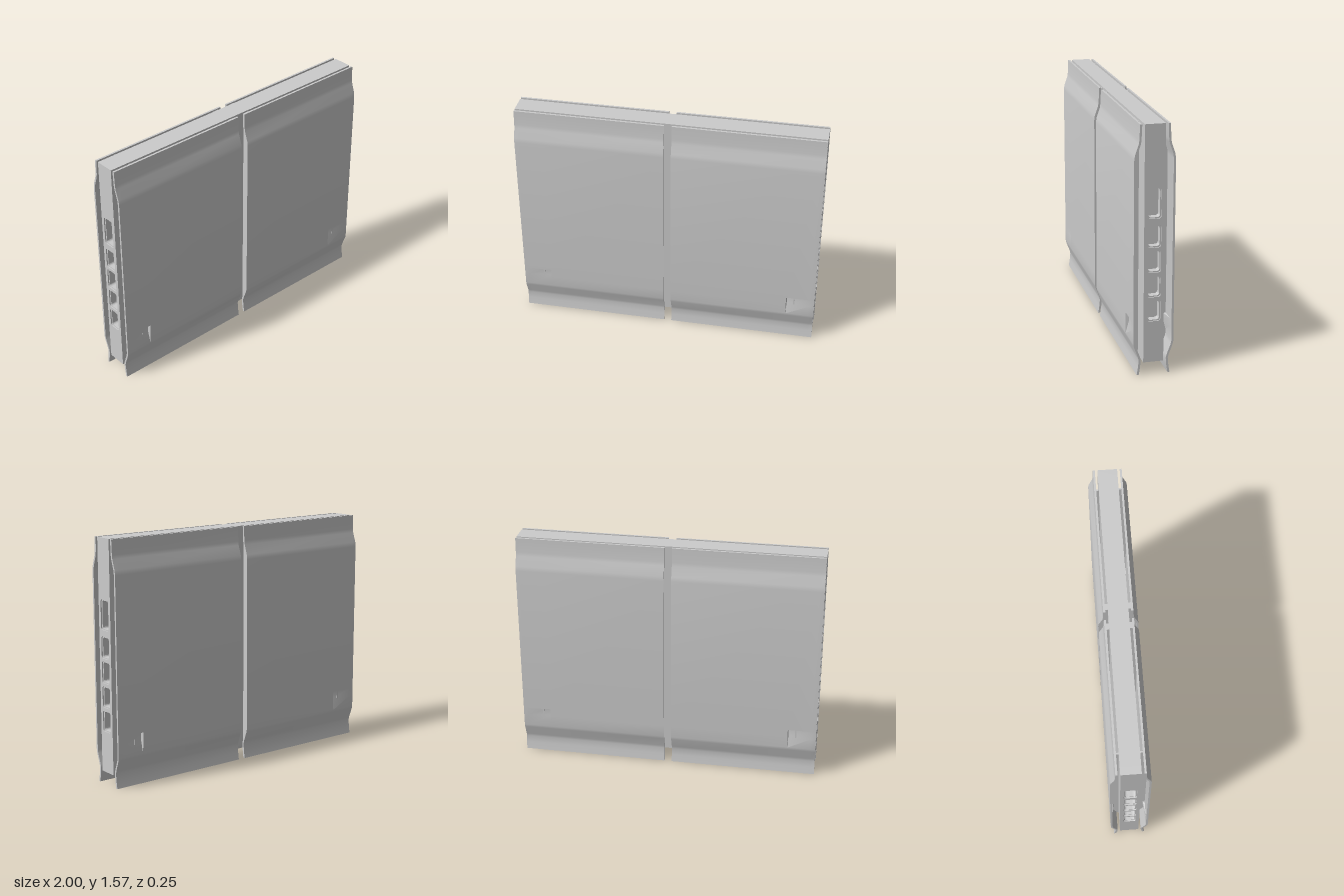
import * as THREE from 'three';
import { toCreasedNormals } from 'three/addons/utils/BufferGeometryUtils.js';

const material = new THREE.MeshStandardMaterial({ color: 0xcccccc });
const T = 0.013; // panel thickness

// Outer panel profile, bottom to top: [y, z]
const profile = [
  [0, 0.104], [0.05, 0.096], [0.095, 0.092], [0.115, 0.096], [0.185, 0.122], [0.205, 0.126],
  [0.285, 0.126], [0.335, 0.126], [0.34, 0.126],
  [1.355, 0.126], [1.385, 0.122], [1.45, 0.1], [1.475, 0.096], [1.57, 0.092],
];
const columns = [0.025, 0.812, 0.817, 0.97, 1];

function add(parent, name, geometry) {
  const mesh = new THREE.Mesh(geometry, material);
  mesh.name = name;
  parent.add(mesh);
  return mesh;
}

// Curved sheet with a shallow dent in its lower outer corner
function panelGeometry(side) {
  const xs = side > 0 ? columns : columns.map((x) => -x).reverse();
  const nx = xs.length - 1, ny = profile.length - 1;
  const geo = new THREE.BoxGeometry(1, 1, 1, nx, ny, 1);
  const p = geo.attributes.position;
  for (let i = 0; i < p.count; i++) {
    const x = xs[Math.round((p.getX(i) + 0.5) * nx)];
    const [y, zOuter] = profile[Math.round((p.getY(i) + 0.5) * ny)];
    let z = p.getZ(i) > 0 ? zOuter : zOuter - T;
    if (Math.abs(x) === 0.817 && y > 0.28 && y < 0.338) z -= 0.02;
    p.setXYZ(i, x, y, z);
  }
  return toCreasedNormals(geo, 0.45);
}

// Spacer between core and panel, following the panel's inner face
function ribGeometry(width) {
  const shape = new THREE.Shape();
  shape.moveTo(0.05, 0.085);
  shape.lineTo(0.082, 0.085);
  profile.filter(([y]) => y > 0.09 && y < 1.5).forEach(([y, z]) => shape.lineTo(z - T + 0.001, y));
  shape.lineTo(0.081, 1.56);
  shape.lineTo(0.05, 1.56);
  const geo = new THREE.ExtrudeGeometry(shape, { depth: width, bevelEnabled: false });
  return geo.rotateY(-Math.PI / 2).translate(width / 2, 0, 0);
}

function roundedRect(path, x, y, w, h, r) {
  path.moveTo(x + r, y);
  path.lineTo(x + w - r, y);
  path.quadraticCurveTo(x + w, y, x + w, y + r);
  path.lineTo(x + w, y + h - r);
  path.quadraticCurveTo(x + w, y + h, x + w - r, y + h);
  path.lineTo(x + r, y + h);
  path.quadraticCurveTo(x, y + h, x, y + h - r);
  path.lineTo(x, y + r);
  path.quadraticCurveTo(x, y, x + r, y);
  return path;
}

// End cap with five pockets, in two layers so each pocket has a stepped lip
function capLayer(inset, depth) {
  const shape = new THREE.Shape();
  shape.moveTo(-0.063, 0.08);
  shape.lineTo(0.063, 0.08);
  shape.lineTo(0.063, 1.57);
  shape.lineTo(-0.063, 1.57);
  shape.closePath();
  for (const [y0, y1] of [[0.345, 0.48], [0.5, 0.637], [0.657, 0.797], [0.815, 0.955], [0.995, 1.187]]) {
    shape.holes.push(roundedRect(new THREE.Path(), -0.042 + inset, y0 + inset,
      0.084 - 2 * inset, y1 - y0 - 2 * inset, 0.018));
  }
  return new THREE.ExtrudeGeometry(shape, { depth, bevelEnabled: false, curveSegments: 4 });
}

export function createModel() {
  const model = new THREE.Group();
  model.name = 'panelledSlab';

  // Solid core
  add(model, 'core', new THREE.BoxGeometry(1.9, 1.49, 0.126)).position.y = 0.825;

  // Pocketed end caps
  for (const side of [-1, 1]) {
    const cap = new THREE.Group();
    cap.name = side > 0 ? 'leftEndCap' : 'rightEndCap';
    add(cap, 'pocketWalls', capLayer(0.007, 0.042)).position.z = 0.95;
    add(cap, 'pocketLips', capLayer(0, 0.008)).position.z = 0.992;
    cap.rotation.y = side * Math.PI / 2;
    model.add(cap);
  }

  // Two panels with their ribs on each face
  for (const face of ['front', 'back']) {
    const group = new THREE.Group();
    group.name = face + 'Face';
    for (const side of [-1, 1]) {
      add(group, 'panel', panelGeometry(side));
      add(group, 'innerRib', ribGeometry(0.04)).position.x = side * 0.065;
      add(group, 'outerRib', ribGeometry(0.01)).position.x = side * 0.865;
    }
    if (face === 'back') group.rotation.y = Math.PI;
    model.add(group);
  }
  return model;
}
